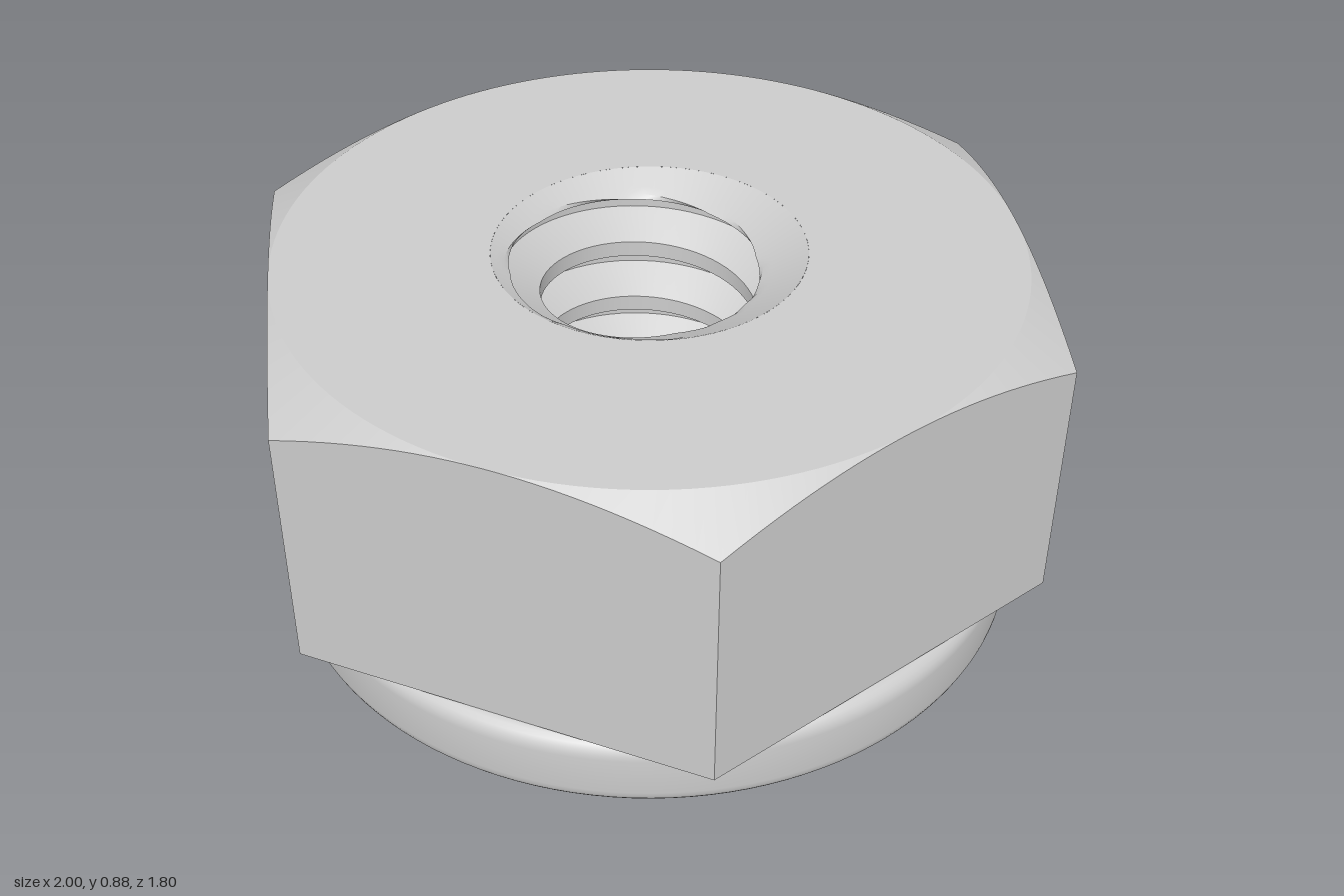
import * as THREE from 'three';
import { toCreasedNormals } from 'three/addons/utils/BufferGeometryUtils.js';

const HEIGHT = 0.88, FLANGE_TOP = 0.188;
const APOTHEM = Math.sqrt(3) / 2;
const SLOPE = Math.tan(Math.PI / 6); // 30 degree chamfers
const MOUTH = 0.365, MINOR = 0.255, PITCH = 0.16;
const THREAD_DEPTH = 0.0866;

// Skin of revolution-like rings; at(row, turn) returns [radius, y], turn in 0..1.
// Rows that go up face outward, rows that go down face inward.
function ringSkin(rows, columns, at, crease) {
  const position = [], index = [];
  for (let i = 0; i < rows; i++) {
    for (let j = 0; j <= columns; j++) {
      const turn = j / columns, angle = turn * Math.PI * 2;
      const [r, y] = at(i, turn);
      position.push(r * Math.sin(angle), y, r * Math.cos(angle));
      if (i < rows - 1 && j < columns) {
        const a = i * (columns + 1) + j, c = a + columns + 1;
        index.push(a, a + 1, c + 1, a, c + 1, c);
      }
    }
  }
  const geometry = new THREE.BufferGeometry();
  geometry.setAttribute('position', new THREE.Float32BufferAttribute(position, 3));
  geometry.setIndex(index);
  return toCreasedNormals(geometry, crease);
}

// Hexagon radius with flats facing +z and -z
function hexRadius(turn) {
  const sector = turn * 6;
  return APOTHEM / Math.cos((sector - Math.round(sector)) * Math.PI / 3);
}

// Hexagonal body, its upper corners cut by a cone
function hexBody() {
  return ringSkin(5, 144, (row, turn) => {
    const hex = hexRadius(turn);
    return [
      [0.5, FLANGE_TOP],
      [hex, FLANGE_TOP],
      [hex, HEIGHT - (hex - APOTHEM) * SLOPE],
      [APOTHEM, HEIGHT],
      [MOUTH, HEIGHT],
    ][row];
  }, 0.3);
}

// Round flange with rounded rims
function flange() {
  const radius = 0.9, round = 0.045, steps = 6;
  const profile = [[MOUTH, 0]];
  for (const [centerY, start] of [[round, -Math.PI / 2], [FLANGE_TOP - round, 0]]) {
    for (let k = 0; k <= steps; k++) {
      const a = start + (k / steps) * Math.PI / 2;
      profile.push([radius - round + round * Math.cos(a), centerY + round * Math.sin(a)]);
    }
  }
  profile.push([0.5, FLANGE_TOP]);
  return ringSkin(profile.length, 128, (row) => profile[row], 0.5);
}

// Thread radius across one pitch: flank, root flat, flank, crest flat
function threadRadius(step) {
  const s = ((step % 16) + 16) % 16;
  const depth = Math.max(0, Math.min(s / 5, 1, (12 - s) / 5));
  return MINOR + depth * THREAD_DEPTH;
}

// Right-hand threaded bore with a countersink at each end
function bore() {
  const top = 8, bottom = -100;
  const threadStart = HEIGHT - (MOUTH - MINOR) * SLOPE;
  return ringSkin(top - bottom + 1, 72, (row, turn) => {
    const step = top - row;
    const helixY = threadStart + PITCH * (turn - 0.097 + step / 16);
    const y = THREE.MathUtils.clamp(helixY, 0, HEIGHT);
    const countersink = MOUTH - Math.min(y, HEIGHT - y) / SLOPE;
    return [Math.max(threadRadius(step), countersink), y];
  }, 0.4);
}

export function createModel() {
  const group = new THREE.Group();
  group.name = 'flangedHexNut';
  const material = new THREE.MeshStandardMaterial({ color: 0xcccccc });
  const parts = { hexBody: hexBody(), flange: flange(), threadedBore: bore() };
  for (const [name, geometry] of Object.entries(parts)) {
    const mesh = new THREE.Mesh(geometry, material);
    mesh.name = name;
    group.add(mesh);
  }
  return group;
}
